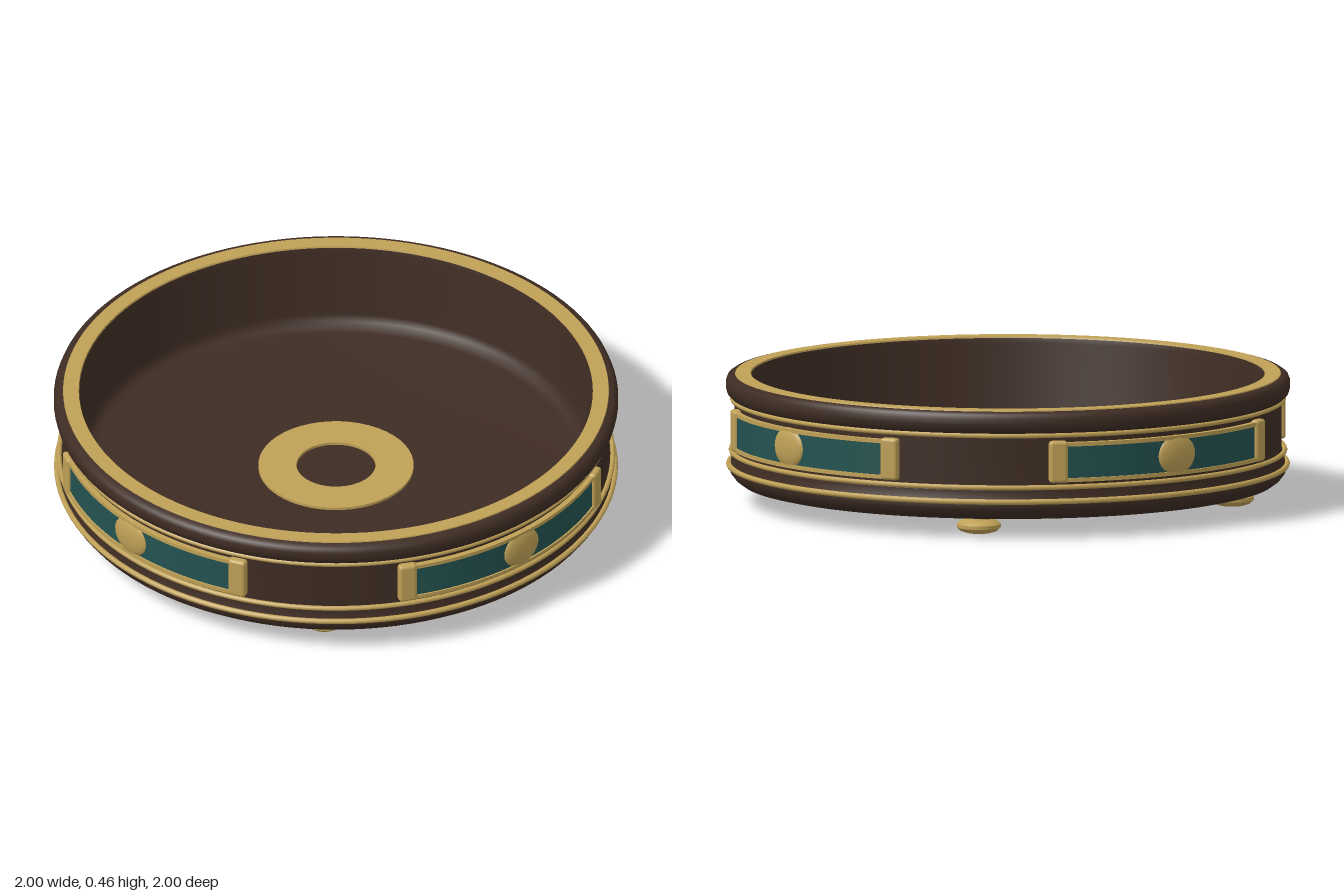
import * as THREE from 'three';
import { toCreasedNormals } from 'three/addons/utils/BufferGeometryUtils.js';
import { RoundedBoxGeometry } from 'three/addons/geometries/RoundedBoxGeometry.js';

const mat = (name, color) => {
  const m = new THREE.MeshStandardMaterial({ color });
  m.name = name;
  return m;
};

export function createModel() {
  const brown = mat('dark wood', 0x3e2c23);
  const gold = mat('antique gold', 0xbfa056);
  const teal = mat('teal enamel', 0x235250);
  const model = new THREE.Group();
  model.name = 'roundTray';

  const add = (parent, name, geometry, material, x = 0, y = 0, z = 0) => {
    const mesh = new THREE.Mesh(geometry, material);
    mesh.name = name;
    mesh.position.set(x, y, z);
    parent.add(mesh);
    return mesh;
  };
  const lathe = (profile, segments = 96, start = 0, length = Math.PI * 2) =>
    toCreasedNormals(new THREE.LatheGeometry(
      profile.map(([r, y]) => new THREE.Vector2(r, y)), segments, start, length), 0.65);
  // Closed rectangular section swept round the axis, centred on +z
  const band = (r0, r1, y0, y1, segments, angle) =>
    lathe([[r0, y0], [r1, y0], [r1, y1], [r0, y1], [r0, y0]], segments, -angle / 2, angle);

  // Bowl: underside, rounded foot, recessed wall, rolled lip, inner wall and floor
  add(model, 'bowl', lathe([
    [0, 0.07], [0.92, 0.07], [0.945, 0.076], [0.967, 0.092], [0.983, 0.113], [0.987, 0.135],
    [0.98, 0.15], [0.978, 0.18], [0.968, 0.19], [0.968, 0.38],
    [0.982, 0.384], [0.994, 0.396], [0.999, 0.415], [0.999, 0.435], [0.993, 0.451], [0.98, 0.46],
    [0.91, 0.46], [0.905, 0.44], [0.903, 0.18], [0.896, 0.153], [0.88, 0.14], [0.85, 0.135], [0, 0.135],
  ], 112), brown);

  // Gold inlay on the lip
  add(model, 'rimInlay', lathe([[0.967, 0.458], [0.965, 0.464], [0.911, 0.464], [0.909, 0.458]], 112), gold);

  // Gold beads round the outside
  for (const [r, y, t] of [[0.988, 0.14, 0.01], [0.98, 0.19, 0.009], [0.976, 0.375, 0.009]]) {
    add(model, 'bead', new THREE.TorusGeometry(r, t, 8, 112), gold, 0, y).rotation.x = Math.PI / 2;
  }

  // Flat gold ring on the floor
  add(model, 'floorRing', lathe([[0.275, 0.13], [0.275, 0.145], [0.14, 0.145], [0.14, 0.13]], 48), gold);

  // Four framed enamel panels, each with end posts and a central boss
  const half = 0.473;
  for (let i = 0; i < 4; i++) {
    const panel = new THREE.Group();
    panel.name = 'sidePanel';
    panel.rotation.y = i * Math.PI / 2;
    model.add(panel);
    add(panel, 'enamel', band(0.95, 0.982, 0.215, 0.34, 24, half * 2), teal);
    for (const y of [0.208, 0.335]) {
      add(panel, 'frameStrip', band(0.95, 0.988, y, y + 0.014, 24, half * 2), gold);
    }
    for (const side of [-1, 1]) {
      const a = side * half;
      const post = add(panel, 'post', new RoundedBoxGeometry(0.066, 0.15, 0.05, 3, 0.012), gold,
        Math.sin(a) * 0.97, 0.28, Math.cos(a) * 0.97);
      post.rotation.y = a;
    }
    add(panel, 'boss', new THREE.SphereGeometry(1, 28, 18), gold, 0, 0.28, 0.976).scale.set(0.082, 0.072, 0.022);
  }

  // Four bun feet
  const foot = lathe([
    [0, 0.005], [0.045, 0.006], [0.066, 0.013], [0.078, 0.025], [0.078, 0.037],
    [0.066, 0.048], [0.046, 0.055], [0.042, 0.072],
  ], 28);
  foot.translate(0, -0.005, 0);
  for (const x of [-0.565, 0.565]) {
    for (const z of [-0.565, 0.565]) add(model, 'foot', foot, gold, x, 0.004, z);
  }

  return model;
}
